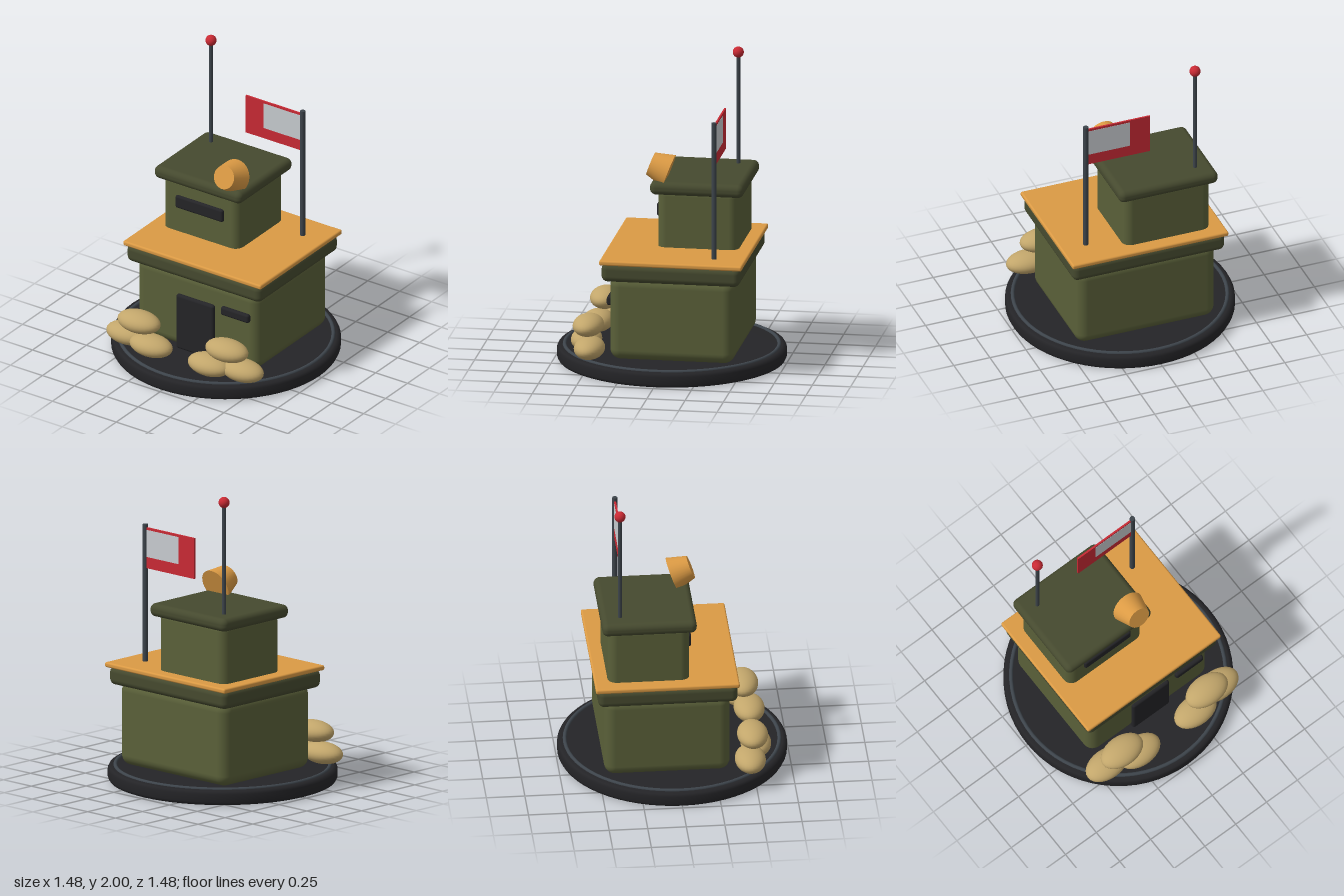
import * as THREE from 'three';
import { RoundedBoxGeometry } from 'three/addons/geometries/RoundedBoxGeometry.js';

const mat = (name, color) => {
  const m = new THREE.MeshStandardMaterial({ color });
  m.name = name;
  return m;
};

export function createModel() {
  const olive = mat('olive', 0x5a6039);
  const darkOlive = mat('dark olive', 0x464a2f);
  const charcoal = mat('charcoal', 0x242427);
  const steel = mat('steel grey', 0x3d444b);
  const orange = mat('orange', 0xdb9a44);
  const red = mat('red', 0xc92a34);
  const white = mat('pale grey', 0xc8ccd0);
  const sand = mat('sand', 0xc2a66b);

  const model = new THREE.Group();
  model.name = 'bunker';

  const add = (name, geometry, material, x = 0, y = 0, z = 0) => {
    const mesh = new THREE.Mesh(geometry, material);
    mesh.name = name;
    mesh.position.set(x, y, z);
    model.add(mesh);
    return mesh;
  };

  // Rounded box given by its extents on each axis
  const block = (name, material, [x0, x1], [y0, y1], [z0, z1], r) =>
    add(name, new RoundedBoxGeometry(x1 - x0, y1 - y0, z1 - z0, 4, r), material,
      (x0 + x1) / 2, (y0 + y1) / 2, (z0 + z1) / 2);

  // Round base with softened rims and an inlaid ring
  const profile = [[0, 0], [0.715, 0], [0.733, 0.007], [0.742, 0.025], [0.742, 0.075],
    [0.733, 0.092], [0.715, 0.099], [0, 0.099]].map(([x, y]) => new THREE.Vector2(x, y));
  add('base', new THREE.LatheGeometry(profile, 64), charcoal);
  const ring = add('baseRing', new THREE.TorusGeometry(0.693, 0.013, 10, 64), steel, 0, 0.098, 0);
  ring.rotation.x = Math.PI / 2;

  // Lower storey
  block('lowerWalls', olive, [-0.482, 0.48], [0.1, 0.66], [-0.48, 0.335], 0.07);
  block('lowerParapet', darkOlive, [-0.528, 0.525], [0.632, 0.755], [-0.525, 0.38], 0.04);
  block('deck', orange, [-0.542, 0.539], [0.747, 0.78], [-0.542, 0.39], 0.012);
  block('door', charcoal, [-0.15, 0.146], [0.1, 0.495], [0.315, 0.358], 0.018);
  block('lowerSlit', charcoal, [0.2, 0.42], [0.45, 0.51], [0.315, 0.36], 0.015);

  // Tower
  block('towerWalls', olive, [-0.453, 0.146], [0.72, 1.18], [-0.455, 0.075], 0.06);
  block('towerRoof', darkOlive, [-0.494, 0.19], [1.135, 1.222], [-0.494, 0.118], 0.038);
  block('towerSlit', charcoal, [-0.337, 0.035], [0.955, 1.045], [0.05, 0.094], 0.015);

  // Antenna with a ball tip
  add('antenna', new THREE.CylinderGeometry(0.013, 0.013, 0.75, 16), steel, -0.374, 1.585, -0.372);
  add('antennaTip', new THREE.SphereGeometry(0.036, 24, 16), red, -0.374, 1.964, -0.372);

  // Flag and pole
  add('flagPole', new THREE.CylinderGeometry(0.017, 0.017, 0.93, 16), steel, 0.369, 1.225, -0.336);
  add('flag', new THREE.BoxGeometry(0.435, 0.27, 0.012), red, 0.143, 1.535, -0.336);
  for (const side of [1, -1]) {
    add('flagPanel', new THREE.BoxGeometry(0.29, 0.18, 0.002), white, 0.211, 1.565, -0.336 + side * 0.006);
  }

  // Tapered lamp tilted up towards the front
  const lamp = add('lamp', new THREE.CylinderGeometry(0.077, 0.112, 0.13, 32), orange, 0.072, 1.294, 0.067);
  lamp.rotation.x = 1.21;

  // Two mirrored piles of sandbags
  const bag = new THREE.SphereGeometry(1, 28, 18);
  for (const side of [1, -1]) {
    for (const [x, y, z] of [[0.228, 0.17, 0.521], [0.448, 0.17, 0.466], [0.344, 0.295, 0.49]]) {
      add('sandbag', bag, sand, side * x, y, z).scale.set(0.155, 0.07, 0.1);
    }
  }
  return model;
}
